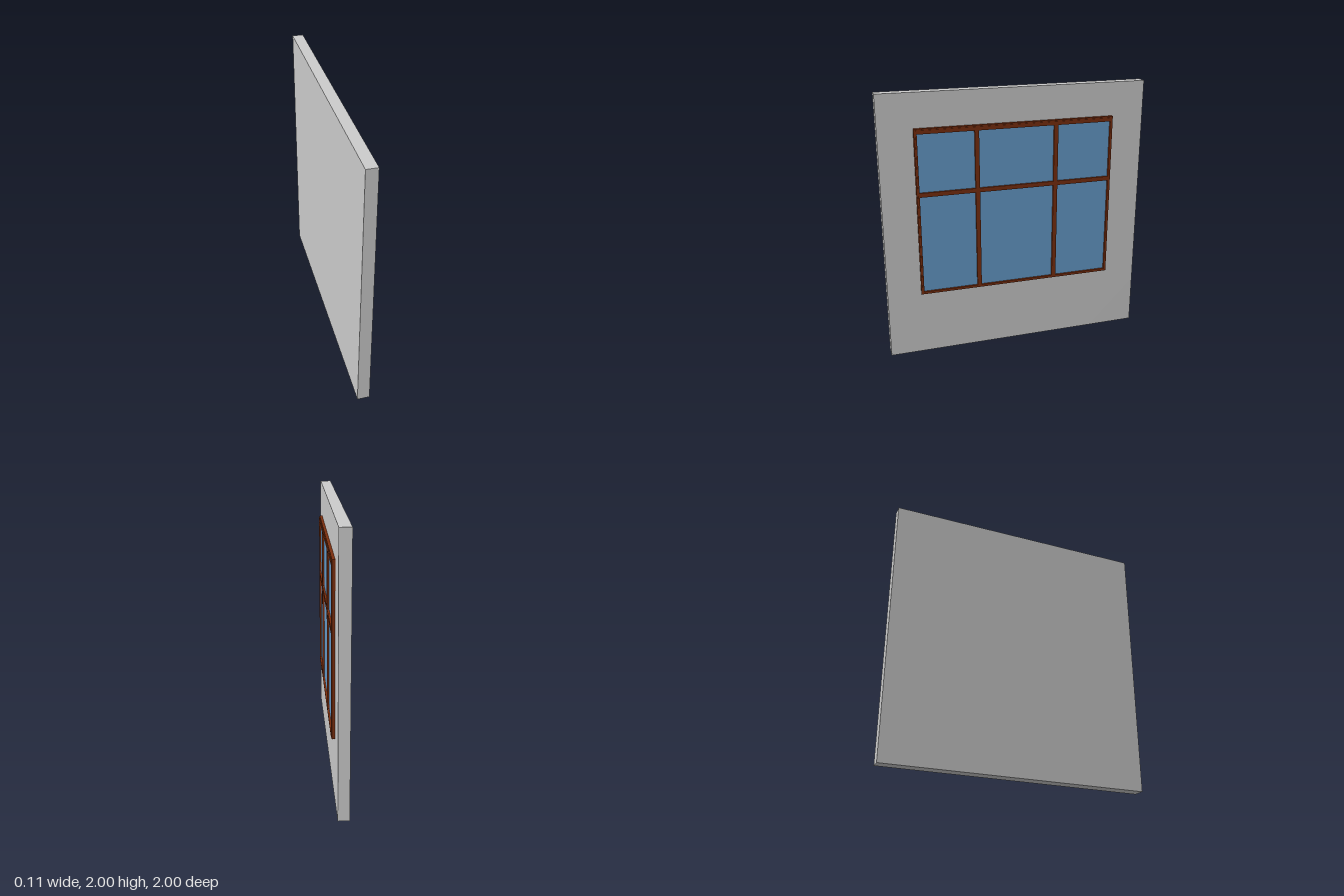
import * as THREE from 'three';

const brown = new THREE.MeshStandardMaterial({ color: 0x7a2e0e });
const blue = new THREE.MeshStandardMaterial({ color: 0x669ccc });
const grey = new THREE.MeshStandardMaterial({ color: 0xcccccc });

const rect = (Type, x0, x1, y0, y1) => new Type().setFromPoints(
  [[x0, y0], [x1, y0], [x1, y1], [x0, y1]].map(([x, y]) => new THREE.Vector2(x, y)));

// Six-pane lattice facing +x, from depth x0 to x1, outline pulled in by inset
function lattice(name, x0, x1, inset) {
  const shape = rect(THREE.Shape, -0.749 + inset, 0.749 - inset, 0.487 + inset, 1.749 - inset);
  const columns = [[-0.728, -0.316], [-0.284, 0.284], [0.316, 0.728]];
  const rows = [[0.508, 1.251], [1.283, 1.711]];
  for (const [a, b] of columns) {
    for (const [c, d] of rows) shape.holes.push(rect(THREE.Path, a, b, c, d));
  }
  const geometry = new THREE.ExtrudeGeometry(shape, { depth: x1 - x0, bevelEnabled: false });
  geometry.rotateY(Math.PI / 2).translate(x0, 0, 0);
  const mesh = new THREE.Mesh(geometry, brown);
  mesh.name = name;
  return mesh;
}

export function createModel() {
  const model = new THREE.Group();
  model.name = 'wallWithWindow';

  // Wall slab, slightly thicker at one lower corner
  const slab = new THREE.BoxGeometry(0.082, 2, 2).translate(-0.014, 1, 0);
  const p = slab.attributes.position;
  for (let i = 0; i < p.count; i++) {
    if (p.getX(i) > 0 && p.getY(i) < 0.1 && p.getZ(i) > 0) p.setX(i, 0.037);
  }
  slab.computeVertexNormals();
  const wall = new THREE.Mesh(slab, grey);
  wall.name = 'wall';

  // Glass behind the lattice
  const glass = new THREE.Mesh(new THREE.BoxGeometry(0.02, 1.23, 1.47), blue);
  glass.position.set(0.03, 1.118, 0);
  glass.name = 'glass';

  // Frame with a small step round its outer edge
  model.add(wall, glass, lattice('frameBase', 0.025, 0.05, 0), lattice('frameFace', 0.05, 0.055, 0.01));
  return model;
}
